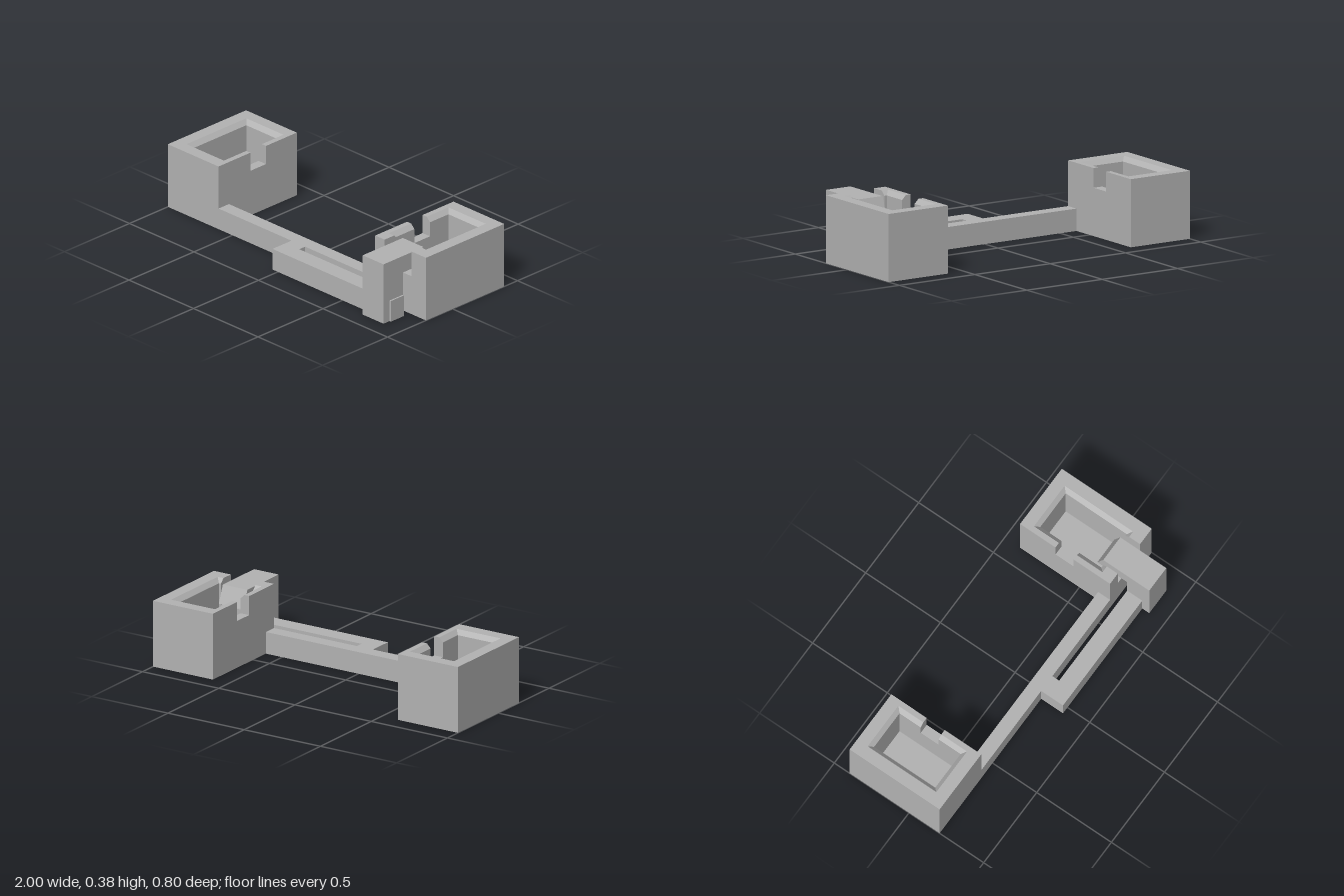
import * as THREE from 'three';

const material = new THREE.MeshStandardMaterial({ color: 0xb2b2b2 });
material.name = 'light grey plastic';

// Box given by its limits on each axis
function block(parent, name, [x0, x1], [y0, y1], [z0, z1]) {
  const g = new THREE.BoxGeometry(x1 - x0, y1 - y0, z1 - z0);
  g.translate((x0 + x1) / 2, (y0 + y1) / 2, (z0 + z1) / 2);
  const m = new THREE.Mesh(g, material);
  m.name = name;
  parent.add(m);
}

// Outline in (x, y) swept along z, or in (z, y) swept along x
function sweep(parent, name, axis, points, from, to) {
  const s = axis === 'x' ? -1 : 1;
  const shape = new THREE.Shape(points.map(([u, y]) => new THREE.Vector2(s * u, y)));
  const g = new THREE.ExtrudeGeometry(shape, { depth: to - from, bevelEnabled: false });
  g.translate(0, 0, from);
  if (axis === 'x') g.rotateY(Math.PI / 2);
  const m = new THREE.Mesh(g, material);
  m.name = name;
  parent.add(m);
}

const TOP = 0.38, FLOOR = 0.07, BEVEL = 0.025;
const BACK = -0.397, FRONT = 0.205, IN_BACK = -0.302, IN_FRONT = 0.107;

// Wall with a bevelled inner rim; a notch [from, to, bottom] cuts it from above
function wall(parent, name, axis, outer, inner, from, to, notch) {
  const b = Math.sign(outer - inner) * BEVEL;
  const profile = (y) => [[outer, y], [outer, TOP], [inner + b, TOP], [inner, TOP - BEVEL], [inner, y]];
  if (!notch) return sweep(parent, name, axis, profile(0), from, to);
  const [n0, n1, y] = notch;
  sweep(parent, name + 'Base', axis, [[outer, 0], [outer, y], [inner, y], [inner, 0]], from, to);
  sweep(parent, name + 'UpperA', axis, profile(y), from, n0);
  sweep(parent, name + 'UpperB', axis, profile(y), n1, to);
}

// Open tray on one side (s = 1 or -1), walls overlapping at the corners
function tray(name, s, frontNotch) {
  const g = new THREE.Group();
  g.name = name;
  const [x0, x1] = s > 0 ? [0.607, 1] : [-1, -0.607];
  block(g, 'floor', [x0, x1], [0, FLOOR], [BACK, FRONT]);
  wall(g, 'outerWall', 'z', s, s * 0.903, BACK, FRONT);
  wall(g, 'innerWall', 'z', s * 0.607, s * 0.664, BACK, FRONT, [-0.16, -0.04, 0.27]);
  wall(g, 'backWall', 'x', BACK, IN_BACK, x0, x1);
  wall(g, 'frontWall', 'x', FRONT, IN_FRONT, x0, x1, frontNotch);
  return g;
}

export function createModel() {
  const model = new THREE.Group();
  model.name = 'twinTrayHolder';

  model.add(tray('leftTray', 1, [0.68, 0.89, 0.23]), tray('rightTray', -1));

  // Bar joining the trays
  block(model, 'crossBar', [-0.607, 0.607], [0, 0.125], [0.125, FRONT]);

  // Spring arm with its root on the bar
  const clip = new THREE.Group();
  clip.name = 'springClip';
  block(clip, 'armRoot', [-0.042, 0.064], [0, 0.125], [FRONT, 0.25]);
  block(clip, 'arm', [-0.042, 0.876], [0, 0.125], [0.25, 0.351]);

  // Upright latch reaching over the tray wall, with a sloped tip
  sweep(clip, 'latch', 'x', [[0.398, 0], [0.398, 0.36], [0.09, 0.36],
    [0.05, 0.26], [0.25, 0.26], [0.25, 0]], 0.705, 0.866);
  model.add(clip);
  return model;
}
